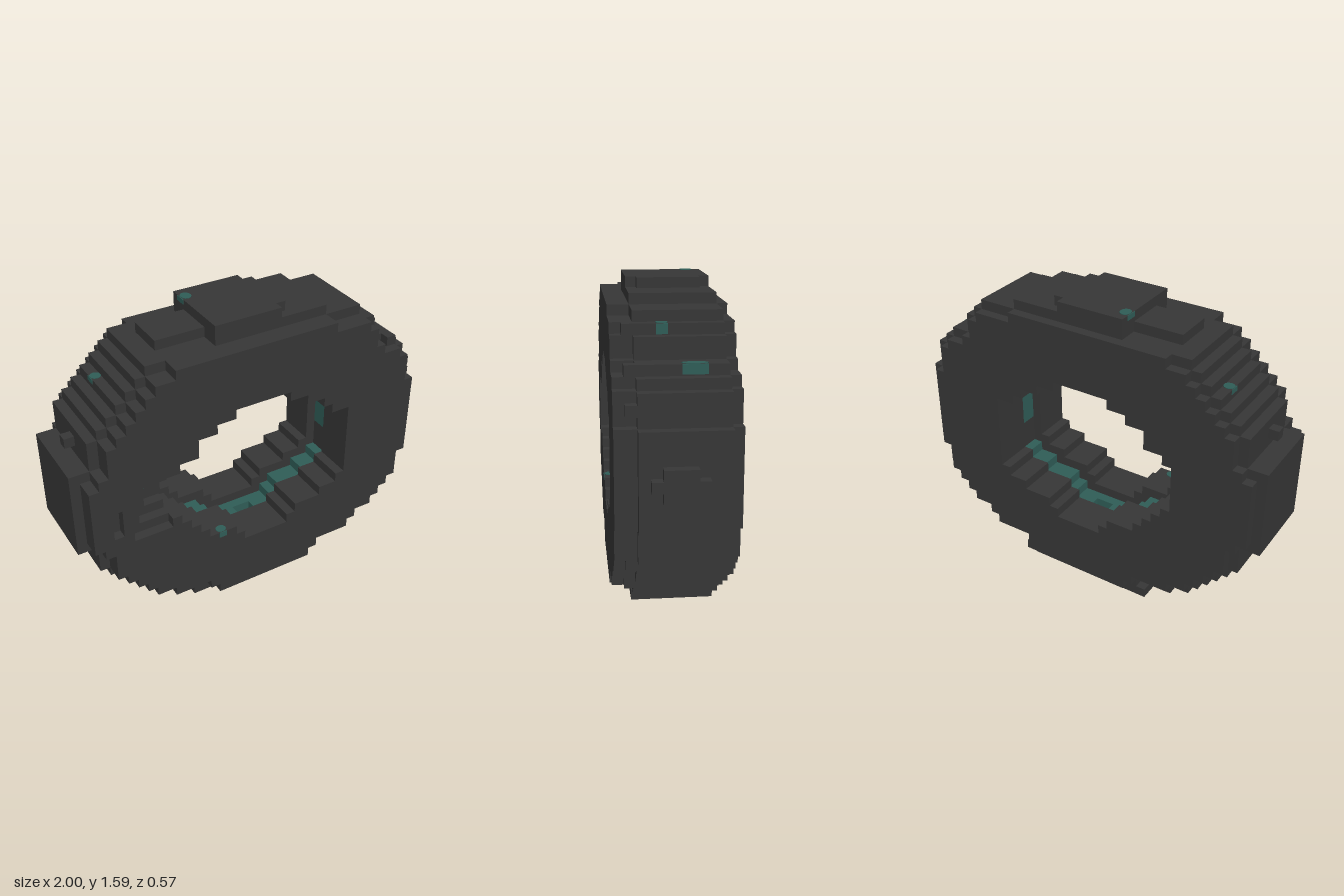
import * as THREE from 'three';

const U = 2 / 39; // cell size; the grid is 39 x 31 x 11 cells
const NX = 39, NY = 31, NZ = 11;

// Start and end cell of each row of the outer outline, bottom to top
const OUTER = [
  [12, 27], [13, 26], [9, 30], [7, 31], [6, 33], [5, 34], [4, 35], [3, 36],
  [2, 37], [2, 37], [2, 37],
  ...Array(9).fill([0, 38]),
  [2, 37], [2, 37], [2, 37], [3, 36], [4, 35], [5, 33], [6, 33], [7, 32],
  [8, 31], [10, 27], [15, 23],
];
// Same for the opening, starting at row 7
const HOLE = [
  [17, 22], [16, 23], [13, 26], [12, 28], [11, 29], [10, 29],
  ...Array(5).fill([9, 29]),
  [10, 29], [12, 27], [12, 26], [14, 24], [16, 22],
];

const inRow = (row, i) => row !== undefined && i >= row[0] && i < row[1];
const within = (v, a, b) => v >= a && v <= b;
const outer = (i, j) => inRow(OUTER[j], i);
const hole = (i, j) => inRow(HOLE[j - 7], i);

// Outline shrunk by one cell, for the side plates
const inset = (i, j) => j < 29 && outer(i, j) && outer(i - 1, j) && outer(i + 1, j) && outer(i, j - 1) && outer(i, j + 1);

// Opening widened by n cells
function nearHole(i, j, n) {
  for (let a = -n; a <= n; a++) {
    for (let b = -n; b <= n; b++) if (hole(i + a, j + b)) return true;
  }
  return false;
}

// Loose cubes on the rim and its ledges
const STUDS = [[1, 21, 5], [31, 27, 9], [34, 24, 9], [36, 21, 9], [10, 28, 9], [6, 25, 9], [35, 7, 9], [32, 4, 9]];

// Cells cut away from the ring
function carved(i, j, k) {
  // slot and stepped notch in the front plate
  if (i === 3 && within(j, 13, 15) && k === 10) return true;
  if (within(i, 5, 8) && within(j, 12, 17) && k === 10) return true;
  if (within(i, 6, 8) && within(j, 13, 16) && k === 9) return true;
  if (within(i, 7, 8) && within(j, 14, 16) && k === 8) return true;
  // narrow step and clipped corners on top
  if (j === 29 && i < 15 && !within(k, 3, 6)) return true;
  if (j === 30 && i === 22 && (k === 1 || k === 8)) return true;
  // pit in the channel floor
  return j === 5 && within(i, 19, 20) && k === 5;
}

// Name of the part that fills a cell, or null when it is empty
function partAt(i, j, k) {
  if (k < 0 || k >= NZ) return null;
  if (i === 38 && ((j === 15 && within(k, 3, 7)) || (within(j, 14, 16) && within(k, 4, 6)))) return 'sideBoss';
  if (STUDS.some(([a, b, c]) => a === i && b === j && c === k)) return 'rimStuds';
  if (hole(i, j) || carved(i, j, k)) return null;
  if (within(k, 1, 8)) {
    if (!outer(i, j)) return null;
    if (within(k, 4, 6)) {
      if (nearHole(i, j, 1)) return null;
      // the inlay is interrupted at the ends of both side walls
      const bareWall = (i <= 7 || i >= 30) && !within(j, 13, 16);
      if (nearHole(i, j, 2) && !bareWall) return 'channelInlay';
    }
    return 'ringCore';
  }
  if (!inset(i, j)) return null;
  return k === 0 ? 'backPlate' : 'frontPlate';
}

// Collect the exposed cell faces of every part
function buildFaces() {
  const parts = {};
  for (let i = 0; i < NX; i++) for (let j = 0; j < NY; j++) for (let k = 0; k < NZ; k++) {
    const name = partAt(i, j, k);
    if (!name) continue;
    const out = (parts[name] ??= []);
    for (let axis = 0; axis < 3; axis++) for (const side of [-1, 1]) {
      const next = [i, j, k];
      next[axis] += side;
      if (partAt(...next)) continue;
      const corner = (a, b) => {
        const p = [i, j, k];
        if (side > 0) p[axis] += 1;
        p[(axis + 1) % 3] += a;
        p[(axis + 2) % 3] += b;
        return [p[0] * U - 1, p[1] * U, (p[2] - NZ / 2) * U];
      };
      const quad = [corner(0, 0), corner(1, 0), corner(1, 1), corner(0, 1)];
      if (side < 0) quad.reverse();
      for (const n of [0, 1, 2, 0, 2, 3]) out.push(...quad[n]);
    }
  }
  return parts;
}

export function createModel() {
  const group = new THREE.Group();
  group.name = 'blockRing';
  const stone = new THREE.MeshStandardMaterial({ color: 0x363636 });
  stone.name = 'darkStone';
  const teal = new THREE.MeshStandardMaterial({ color: 0x2f5d57 });
  teal.name = 'deepTeal';

  const add = (name, geometry, material, x = 0, y = 0, z = 0) => {
    const mesh = new THREE.Mesh(geometry, material);
    mesh.name = name;
    mesh.position.set(x, y, z);
    group.add(mesh);
    return mesh;
  };

  // Ring, plates, boss, studs and the inlaid channel
  for (const [name, positions] of Object.entries(buildFaces())) {
    const geometry = new THREE.BufferGeometry();
    geometry.setAttribute('position', new THREE.Float32BufferAttribute(positions, 3));
    geometry.computeVertexNormals();
    add(name, geometry, name === 'channelInlay' ? teal : stone);
  }

  // Flush gems on the rim steps: a round top plate and a plate on the riser.
  // Column and row of the cell, x and z of the centre, half length, riser side and height
  const rimGems = [
    [34, 24, 0.768, -0.08, 0.06, 1, 0.045], [31, 27, 0.614, 0.05, 0.028, 1, 0.048],
    [5, 25, -0.718, -0.1, 0.027, -1, 0.025], [15, 30, -0.203, -0.157, 0.032, -1, 0.025],
  ];
  const disc = new THREE.CylinderGeometry(1, 1, 0.004, 12);
  for (const [i, j, x, z, half, side, height] of rimGems) {
    const top = (j + 1) * U;
    add('rimGemTop', disc, teal, x, top + 0.001, z).scale.set(side > 0 ? 0.026 : 0.028, 1, half);
    const edge = (side > 0 ? i + 1 : i) * U - 1;
    add('rimGemRiser', new THREE.BoxGeometry(0.004, height, half * 1.9), teal, edge + side * 0.001, top - height / 2, z);
  }

  // Gem at the front lip of the opening and gem inside the notch
  add('lipGemTop', disc, teal, -0.26, 9 * U + 0.001, 0.256).scale.set(0.028, 1, 0.025);
  add('lipGemFront', new THREE.BoxGeometry(0.042, 0.03, 0.004), teal, -0.26, 9 * U - 0.015, 5.5 * U + 0.001);
  const notchGem = add('notchGem', disc, teal, -0.635, 0.795, 2.5 * U + 0.001);
  notchGem.rotation.x = Math.PI / 2;
  notchGem.scale.set(0.021, 1, 0.021);
  return group;
}
